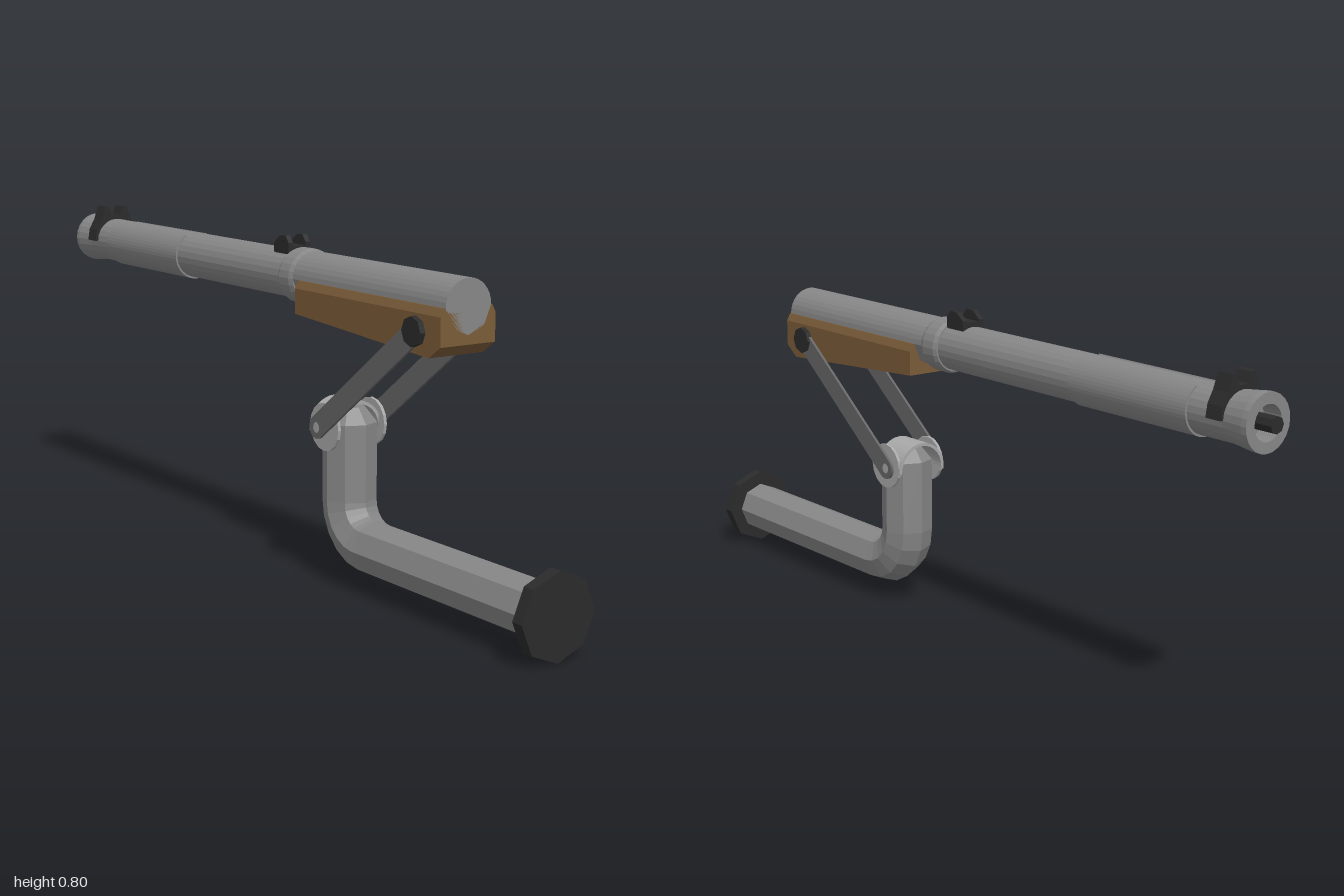
import * as THREE from 'three';

const material = (color) => new THREE.MeshStandardMaterial({ color, flatShading: true });
const AXIS = 0.708; // height of the barrel axis

// Outline in (x, y) extruded from z0 to z1
function extrudeFront(shape, z0, z1, curveSegments = 12) {
  return new THREE.ExtrudeGeometry(shape, { depth: z1 - z0, bevelEnabled: false, curveSegments })
    .translate(0, 0, z0);
}

// Outline in (z, y) extruded across x, centred on x
function extrudeSide(shape, width, x = 0, curveSegments = 6) {
  return new THREE.ExtrudeGeometry(shape, { depth: width, bevelEnabled: false, curveSegments })
    .translate(0, 0, -width / 2).rotateY(-Math.PI / 2).translate(x, 0, 0);
}

const polygon = (points) => new THREE.Shape(points.map(([a, b]) => new THREE.Vector2(a, b)));

// Profile of (radius, z) turned about the barrel axis
function turned(profile, sides = 24) {
  return new THREE.LatheGeometry(profile.map(([r, z]) => new THREE.Vector2(r, z)), sides)
    .rotateX(Math.PI / 2).translate(0, AXIS, 0);
}

// Cylinder lying along x
const crossPin = (r, width, x, y, z, sides) =>
  new THREE.CylinderGeometry(r, r, width, sides).rotateZ(Math.PI / 2).translate(x, y, z);

// Eight-sided pipe running back, bending upward and tapering at the top
function bentPipe() {
  const stations = [[0.97, 0.1, 0, 0.065]]; // z, y, bend angle, radius
  for (let i = 0; i <= 5; i++) {
    const a = (i / 5) * Math.PI / 2;
    stations.push([0.36 - 0.1 * Math.sin(a), 0.2 - 0.1 * Math.cos(a), a, 0.065]);
  }
  for (const [y, r] of [[0.385, 0.065], [0.422, 0.035], [0.422, 0]]) {
    stations.push([0.26, y, Math.PI / 2, r]);
  }
  const sides = 8, positions = [], index = [];
  stations.forEach(([z, y, bend, r], i) => {
    for (let j = 0; j < sides; j++) {
      const a = (j / sides) * Math.PI * 2, n = r * Math.sin(a);
      positions.push(r * Math.cos(a), y - n * Math.cos(bend), z - n * Math.sin(bend));
      if (i === 0) continue;
      const k = (j + 1) % sides, p = (i - 1) * sides, q = i * sides;
      index.push(p + j, p + k, q + k, p + j, q + k, q + j);
    }
  });
  const geometry = new THREE.BufferGeometry();
  geometry.setAttribute('position', new THREE.Float32BufferAttribute(positions, 3));
  geometry.setIndex(index);
  geometry.computeVertexNormals();
  return geometry;
}

export function createModel() {
  const model = new THREE.Group();
  const metal = material(0x878787), pale = material(0xa8a8a8), dark = material(0x666666);
  const black = material(0x2b2b2b), wood = material(0x7a5c38);
  const add = (name, geometry, mat) => {
    const mesh = new THREE.Mesh(geometry, mat);
    mesh.name = name;
    model.add(mesh);
    return mesh;
  };

  // Butt plate and stock pipe
  add('buttPlate', new THREE.CylinderGeometry(0.1, 0.1, 0.03, 8)
    .rotateX(Math.PI / 2).translate(0, 0.1, 0.985), black);
  add('stockPipe', bentPipe(), metal);

  // Receiver: round above, eight-sided below
  const outline = [];
  for (let i = 0; i <= 16; i++) {
    const a = (i / 16) * Math.PI;
    outline.push([0.062 * Math.cos(a), AXIS + 0.062 * Math.sin(a)]);
  }
  for (let i = 1; i < 4; i++) {
    const a = Math.PI * (1 + i / 4);
    outline.push([0.062 * Math.cos(a), AXIS + 0.062 * Math.sin(a)]);
  }
  add('receiver', extrudeFront(polygon(outline), 0.1, 0.69), metal);
  add('collar', turned([[0, 0.05], [0.062, 0.05], [0.067, 0.06], [0.067, 0.1], [0.062, 0.112], [0, 0.112]]), metal);

  // Barrel with hollow flared muzzle
  add('barrel', turned([[0, -0.925], [0.04, -0.925], [0.04, -0.975], [0.065, -0.975],
    [0.065, -0.96], [0.06, -0.92], [0.058, -0.9], [0.058, 0.06]]), metal);
  add('muzzleCore', new THREE.CylinderGeometry(0.019, 0.019, 0.08, 8)
    .rotateX(Math.PI / 2).translate(0, AXIS, -0.96), black);

  // Sleeve around the barrel, open along the top
  const sleeve = new THREE.Shape();
  const gap = Math.PI / 6;
  sleeve.absarc(0, AXIS, 0.0625, Math.PI / 2 + gap, Math.PI * 2.5 - gap, false);
  sleeve.absarc(0, AXIS, 0.056, Math.PI * 2.5 - gap, Math.PI / 2 + gap, true);
  add('barrelSleeve', extrudeFront(sleeve, -0.8, -0.43, 20), metal);

  // Front sight: band over the barrel with two ears
  const half = [[0.066, 0], [0.061, 0.03], [0.046, 0.057], [0.033, 0.094], [0.022, 0.092], [0.013, 0.068]];
  const mirrored = half.map(([x, y]) => [-x, y]).reverse();
  add('frontSight', extrudeFront(polygon([...half, ...mirrored].map(([x, y]) => [x, y + AXIS])), -0.905, -0.862), black);

  // Rear sight: base with two ears
  add('rearSightBase', new THREE.BoxGeometry(0.06, 0.024, 0.062).translate(0, 0.765, 0.017), black);
  const ear = polygon([[0.048, 0.76], [0.048, 0.785], [0.035, 0.802], [0.01, 0.8], [-0.014, 0.782], [-0.014, 0.76]]);
  for (const s of [-1, 1]) add('rearSightEar', extrudeSide(ear, 0.013, s * 0.0245), black);

  // Wooden fore-end with narrowed upper edge
  add('foreEnd', extrudeSide(polygon([[0.69, 0.69], [0.69, 0.625], [0.65, 0.597], [0.14, 0.63], [0.14, 0.69]]), 0.15), wood);
  const rim = extrudeSide(polygon([[0.69, 0.69], [0.14, 0.69], [0.14, 0.708], [0.69, 0.708]]), 0.15);
  const p = rim.attributes.position;
  for (let i = 0; i < p.count; i++) if (p.getY(i) > 0.7) p.setX(i, p.getX(i) * 0.87);
  add('foreEndRim', rim, wood);

  // Dark inset plates on the underside
  for (const z of [0.25, 0.5]) {
    const plate = add('undersidePlate', new THREE.BoxGeometry(0.07, 0.006, 0.09), black);
    plate.position.set(0, 0.63 - (z - 0.14) * 0.0647, z);
    plate.rotation.x = 0.0647;
  }

  // Link arms, pivots and bracket ears on both sides
  const length = 0.457, w = 0.027;
  const arm = new THREE.Shape();
  arm.absarc(length, 0, w, -Math.PI / 2, Math.PI / 2, false);
  arm.absarc(0, 0, w, Math.PI / 2, Math.PI * 1.5, false);
  const hole = new THREE.Path();
  hole.absarc(0, 0, 0.013, 0, Math.PI * 2, true);
  arm.holes.push(hole);
  for (const s of [-1, 1]) {
    const link = add('linkArm', extrudeSide(arm, 0.007, s * 0.079), dark);
    link.position.set(0, 0.375, 0.24);
    link.rotation.x = -Math.atan2(0.275, 0.365);
    add('upperPivot', crossPin(0.034, 0.02, s * 0.079, 0.65, 0.605, 8), black);
    add('lowerPivot', crossPin(0.013, 0.02, s * 0.071, 0.375, 0.24, 10), pale);
    add('bracketEar', crossPin(0.057, 0.008, s * 0.066, 0.377, 0.255, 16), pale);
  }

  // Arched bracket over the top of the pipe
  const arch = new THREE.Shape();
  arch.moveTo(0.07, 0.36);
  arch.absarc(0, 0.367, 0.07, 0, Math.PI, false);
  arch.lineTo(-0.07, 0.36);
  arch.lineTo(-0.062, 0.36);
  arch.absarc(0, 0.367, 0.062, Math.PI, 0, true);
  arch.lineTo(0.062, 0.36);
  add('bracketArch', extrudeFront(arch, 0.195, 0.29, 10), pale);

  return model;
}
